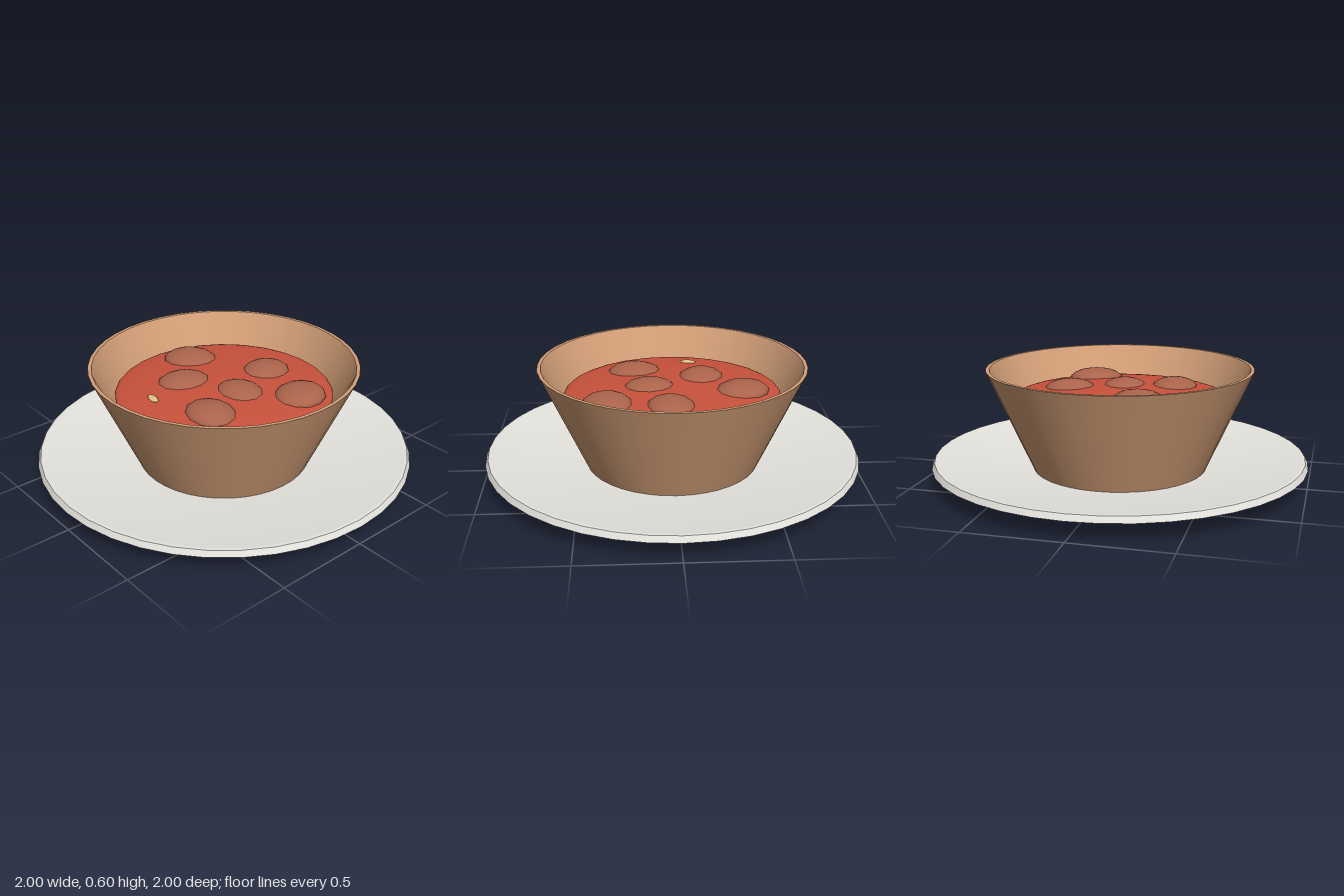
import * as THREE from 'three';

const mat = (name, color) => {
  const m = new THREE.MeshStandardMaterial({ color });
  m.name = name;
  return m;
};

// A group of lathed strips; edges between strips stay sharp, inside a strip they are smooth.
function turned(name, strips, segments, material) {
  const group = new THREE.Group();
  group.name = name;
  for (const [part, pts] of Object.entries(strips)) {
    const geo = new THREE.LatheGeometry(pts.map(([r, y]) => new THREE.Vector2(r, y)), segments);
    const mesh = new THREE.Mesh(geo, material);
    mesh.name = name + part;
    group.add(mesh);
  }
  return group;
}

// A squashed ball lying in the sauce.
function pebble(name, material, [x, y, z], [rx, ry, rz], turn, sides = 12, rings = 10) {
  const mesh = new THREE.Mesh(new THREE.SphereGeometry(1, sides, rings), material);
  mesh.name = name;
  mesh.position.set(x, y, z);
  mesh.scale.set(rx, ry, rz);
  mesh.rotation.y = turn;
  return mesh;
}

export function createModel() {
  const china = mat('off-white china', 0xe5e3dd);
  const clay = mat('tan clay', 0xd4a078);
  const red = mat('tomato sauce', 0xc9523d);
  const meat = mat('browned meat', 0xac644c);
  const pale = mat('pale seed', 0xe0c088);

  const model = new THREE.Group();
  model.name = 'bowlOnPlate';

  // Plate: flat foot, flared underside, narrow rim and shallow dished top
  model.add(turned('plate', {
    Underside: [[0, 0], [0.7, 0], [0.725, 0.003], [0.755, 0.018], [1, 0.1]],
    Edge: [[1, 0.1], [0.985, 0.13]],
    Rim: [[0.985, 0.13], [0.968, 0.13]],
    Top: [[0.968, 0.13], [0.45, 0.057], [0, 0.05]],
  }, 40, china));

  // Bowl: straight flared wall with a thin lip
  model.add(turned('bowl', {
    Base: [[0, 0.055], [0.462, 0.055]],
    Outside: [[0.462, 0.055], [0.705, 0.6]],
    Lip: [[0.705, 0.6], [0.686, 0.6]],
    Inside: [[0.686, 0.6], [0.46, 0.09]],
    Floor: [[0.46, 0.09], [0, 0.09]],
  }, 40, clay));

  // Sauce: gently domed surface
  model.add(pebble('sauce', red, [0, 0.435, 0], [0.575, 0.05, 0.575], 0, 28, 20));

  // Meatballs: x, z, radius across, radius deep, turn
  const balls = [
    [0.02, -0.28, 0.125, 0.14, 0.2],
    [0.34, -0.225, 0.13, 0.15, 0.2],
    [-0.365, -0.065, 0.15, 0.13, 0.6],
    [0.12, -0.005, 0.14, 0.12, 0],
    [-0.16, 0.14, 0.125, 0.145, -0.35],
    [0.195, 0.255, 0.147, 0.125, -0.1],
  ];
  balls.forEach(([x, z, rx, rz, turn], i) => {
    model.add(pebble('meatball' + (i + 1), meat, [x, 0.46, z], [rx, 0.056, rz], turn));
  });

  // Single seed on the sauce
  model.add(pebble('seed', pale, [-0.108, 0.472, 0.385], [0.046, 0.012, 0.022], -0.2, 10, 8));

  return model;
}
